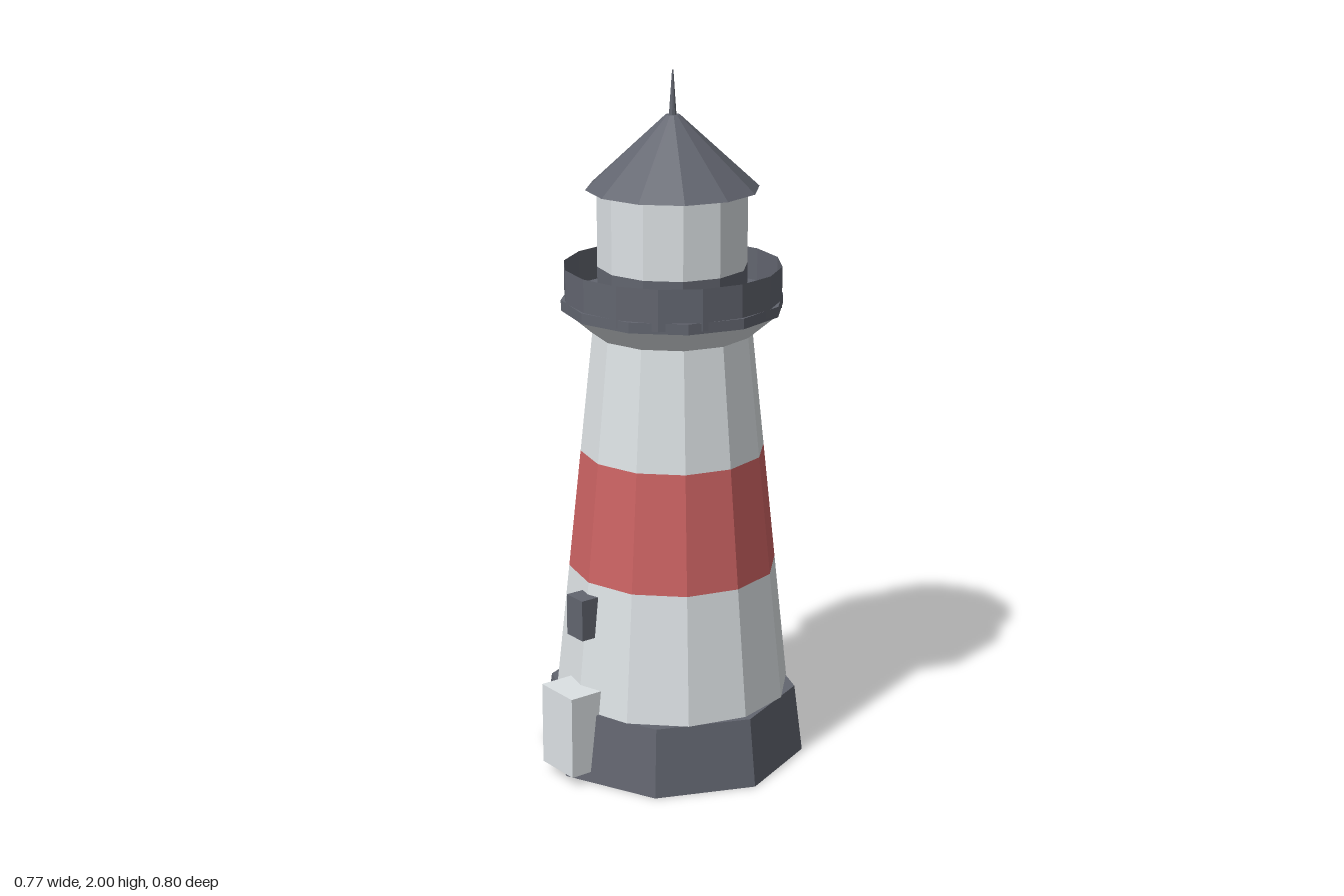
import * as THREE from 'three';

export function createModel() {
  const model = new THREE.Group();
  model.name = 'lighthouse';

  const paint = (name, color) => {
    const m = new THREE.MeshStandardMaterial({ color });
    m.name = name;
    m.flatShading = true;
    return m;
  };
  const white = paint('white', 0xdce1e4);
  const red = paint('red', 0xcb6262);
  const slate = paint('slate', 0x62656f);
  const slateThin = paint('slateThin', 0x62656f);
  slateThin.side = THREE.DoubleSide;

  // The tower axis sits slightly behind centre because the door projects forward
  const axisZ = -0.015;

  // Faceted ring section between two heights, with a corner facing the front
  const section = (name, material, y0, y1, r0, r1, sides = 12, open = false) => {
    const geo = new THREE.CylinderGeometry(r1, r0, y1 - y0, sides, 1, open);
    const mesh = new THREE.Mesh(geo, material);
    mesh.name = name;
    mesh.position.set(0, (y0 + y1) / 2, axisZ);
    model.add(mesh);
  };

  const block = (name, material, w, y0, y1, z0, z1) => {
    const mesh = new THREE.Mesh(new THREE.BoxGeometry(w, y1 - y0, z1 - z0), material);
    mesh.name = name;
    mesh.position.set(0, (y0 + y1) / 2, (z0 + z1) / 2);
    model.add(mesh);
  };

  // Eight-sided plinth
  section('base', slate, 0, 0.2, 0.385, 0.36, 8);

  // Tapered tower in three bands
  const radiusAt = (y) => 0.34 - (y - 0.2) * (0.113 / 1.07);
  const bands = [
    ['lowerTower', white, 0.2, 0.575],
    ['redBand', red, 0.575, 0.92],
    ['upperTower', white, 0.92, 1.27],
  ];
  for (const [name, mat, y0, y1] of bands) section(name, mat, y0, y1, radiusAt(y0), radiusAt(y1));

  // Flared cornice, gallery floor and thin parapet
  section('cornice', white, 1.265, 1.335, 0.228, 0.31);
  section('galleryFloor', slate, 1.333, 1.363, 0.315, 0.315);
  section('parapet', slateThin, 1.34, 1.457, 0.308, 0.308, 16, true);

  // Lantern room, roof and spire
  section('lanternBase', slate, 1.36, 1.455, 0.212, 0.212);
  section('lanternRoom', white, 1.455, 1.675, 0.212, 0.212);
  section('roof', slate, 1.672, 1.877, 0.244, 0.02);
  section('spire', slate, 1.87, 2, 0.011, 0.002, 8);

  // Door and windows
  block('door', white, 0.145, 0.03, 0.27, 0.28, 0.4);
  block('frontWindow', slate, 0.074, 0.42, 0.54, 0.26, 0.335);
  block('backWindow', slate, 0.074, 0.795, 0.912, -0.315, -0.24);

  return model;
}
